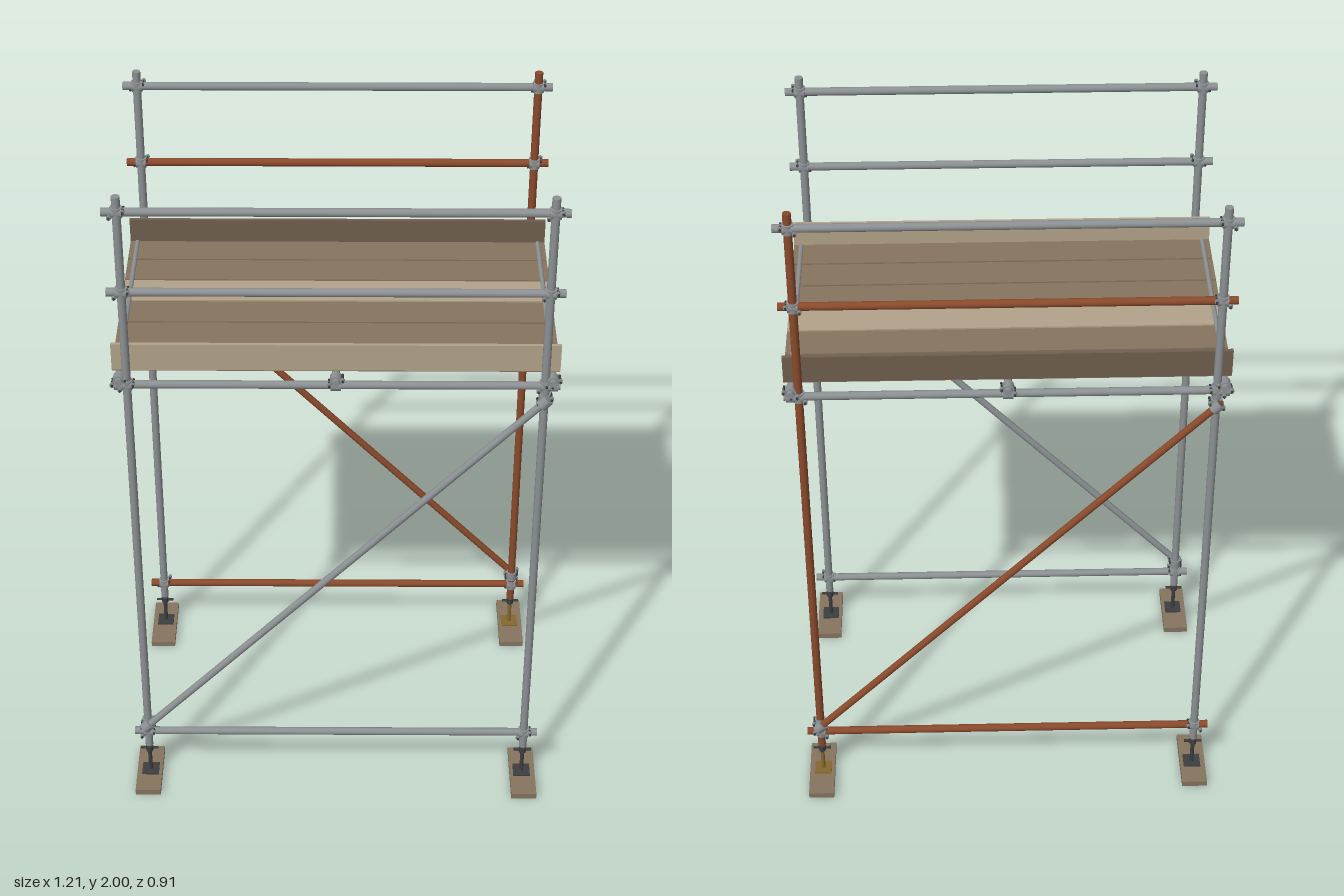
import * as THREE from 'three';

const mat = (color) => new THREE.MeshStandardMaterial({ color });

export function createModel() {
  const root = new THREE.Group();
  root.name = 'scaffoldTower';

  const steel = mat(0x8c9092), rust = mat(0x8a4a2c), dark = mat(0x3c3e40), brass = mat(0x85682f);
  const wood = mat(0x85745f), paleWood = mat(0xb3a48a), darkWood = mat(0x6f5f4e);
  const X = 0.56, Z = 0.35, R = 0.0115;
  const V = (x, y, z) => new THREE.Vector3(x, y, z);
  const up = V(0, 1, 0);

  const add = (name, geometry, material, pos, parent = root) => {
    const m = new THREE.Mesh(geometry, material);
    m.name = name;
    m.position.copy(pos);
    parent.add(m);
    return m;
  };
  // Round bar between two points
  const bar = (name, a, b, r, material, parent = root, sides = 16) => {
    const d = b.clone().sub(a);
    const m = add(name, new THREE.CylinderGeometry(r, r, d.length(), sides), material,
      a.clone().add(b).multiplyScalar(0.5), parent);
    m.quaternion.setFromUnitVectors(up, d.normalize());
    return m;
  };
  const box = (name, w, h, d, material, pos, parent = root) =>
    add(name, new THREE.BoxGeometry(w, h, d), material, pos, parent);

  // Clamp joining two tubes: one collar along each tube, and a bolt
  const coupler = (p, dirA, dirB, offset, out) => {
    const g = new THREE.Group();
    g.name = 'coupler';
    g.position.copy(p);
    root.add(g);
    const zero = V(0, 0, 0);
    [[zero, dirA], [offset, dirB]].forEach(([c, d]) => {
      const h = d.clone().multiplyScalar(0.014);
      bar('collar', c.clone().sub(h), c.clone().add(h), 0.0165, steel, g, 12);
    });
    [-1, 1].forEach((s) => {
      const c = V(s * 0.018, s * 0.008, 0);
      bar('bolt', c.clone().setZ(-out * 0.012), c.clone().setZ(out * 0.026), 0.0035, dark, g, 6);
      bar('nut', c.clone().setZ(out * 0.014), c.clone().setZ(out * 0.021), 0.0065, steel, g, 6);
    });
  };

  // Posts with screw jacks and sole boards
  const soleEnds = { '-1,1': [0.25, 0.443], '1,1': [0.25, 0.453], '-1,-1': [-0.438, -0.238], '1,-1': [-0.457, -0.245] };
  for (const sx of [-1, 1]) for (const sz of [-1, 1]) {
    const x = sx * X, z = sz * Z;
    const rusty = sx > 0 && sz < 0;
    bar('post', V(x, 0.12, z), V(x, 2, z), R, rusty ? rust : steel);

    const jack = new THREE.Group();
    jack.name = 'screwJack';
    jack.position.set(x, 0, z);
    root.add(jack);
    const jackMat = rusty ? brass : dark;
    bar('screw', V(0, 0.02, 0), V(0, 0.16, 0), 0.006, jackMat, jack, 10);
    box('basePlate', 0.05, 0.004, 0.05, jackMat, V(0, 0.02, 0), jack);
    bar('adjustingNut', V(0, 0.096, 0), V(0, 0.114, 0), 0.011, dark, jack, 8);
    bar('handle', V(-0.026, 0.105, 0), V(0.026, 0.105, 0), 0.004, dark, jack, 8);
    bar('handle', V(0, 0.105, -0.018), V(0, 0.105, 0.018), 0.004, dark, jack, 8);

    const [z0, z1] = soleEnds[`${sx},${sz}`];
    box('soleBoard', 0.075, 0.018, z1 - z0, wood, V(sx * 0.5625, 0.009, (z0 + z1) / 2));
  }

  // Ledgers and guard rails, front and back, with a diagonal brace on each side
  for (const s of [-1, 1]) {
    const z = s * Z;
    for (const [name, y, rusty] of [['bottomLedger', 0.175, true], ['deckLedger', 1.425, false],
      ['midRail', 1.715, true], ['topRail', 1.955, false]]) {
      bar(name, V(-0.6, y, z), V(0.6, y, z), R, rusty && s < 0 ? rust : steel);
      for (const sx of [-1, 1]) coupler(V(sx * X, y, z), up, V(1, 0, 0), V(0, 0, 0), s);
    }
    const zb = s * 0.37;
    bar('diagonalBrace', V(-s * 0.57, 0.2, zb), V(s * 0.57, 1.395, zb), 0.0105, s < 0 ? rust : steel);
    const d = V(s * 1.12, 1.175, 0).normalize();
    coupler(V(-s * X, 0.212, z), up, d, V(0, 0, s * 0.02), s);
    coupler(V(s * X, 1.384, z), up, d, V(0, 0, s * 0.02), s);
  }

  // Cross tubes carrying the deck
  for (const x of [-0.58, 0, 0.58]) {
    bar('deckTransom', V(x, 1.444, -0.375), V(x, 1.444, 0.375), 0.0105, steel);
    for (const s of [-1, 1]) coupler(V(x, 1.442, s * Z), V(0, 0, 1), V(1, 0, 0), V(0, -0.017, 0), s);
  }

  // Deck planks
  for (let i = 0; i < 6; i++) {
    box('deckPlank', 1.2, 0.015, 0.104, i === 2 ? paleWood : wood, V(0, 1.462, -0.276 + i * 0.1105));
  }
  // Hold-down strips across the plank ends
  for (const s of [-1, 1]) bar('plankStrip', V(s * 0.58, 1.467, -0.322), V(s * 0.58, 1.467, 0.32), 0.007, steel);

  // Toe boards
  box('frontToeBoard', 1.2, 0.08, 0.011, paleWood, V(0, 1.5, 0.328));
  box('backToeBoard', 1.2, 0.08, 0.011, darkWood, V(0, 1.5, -0.328));

  return root;
}
